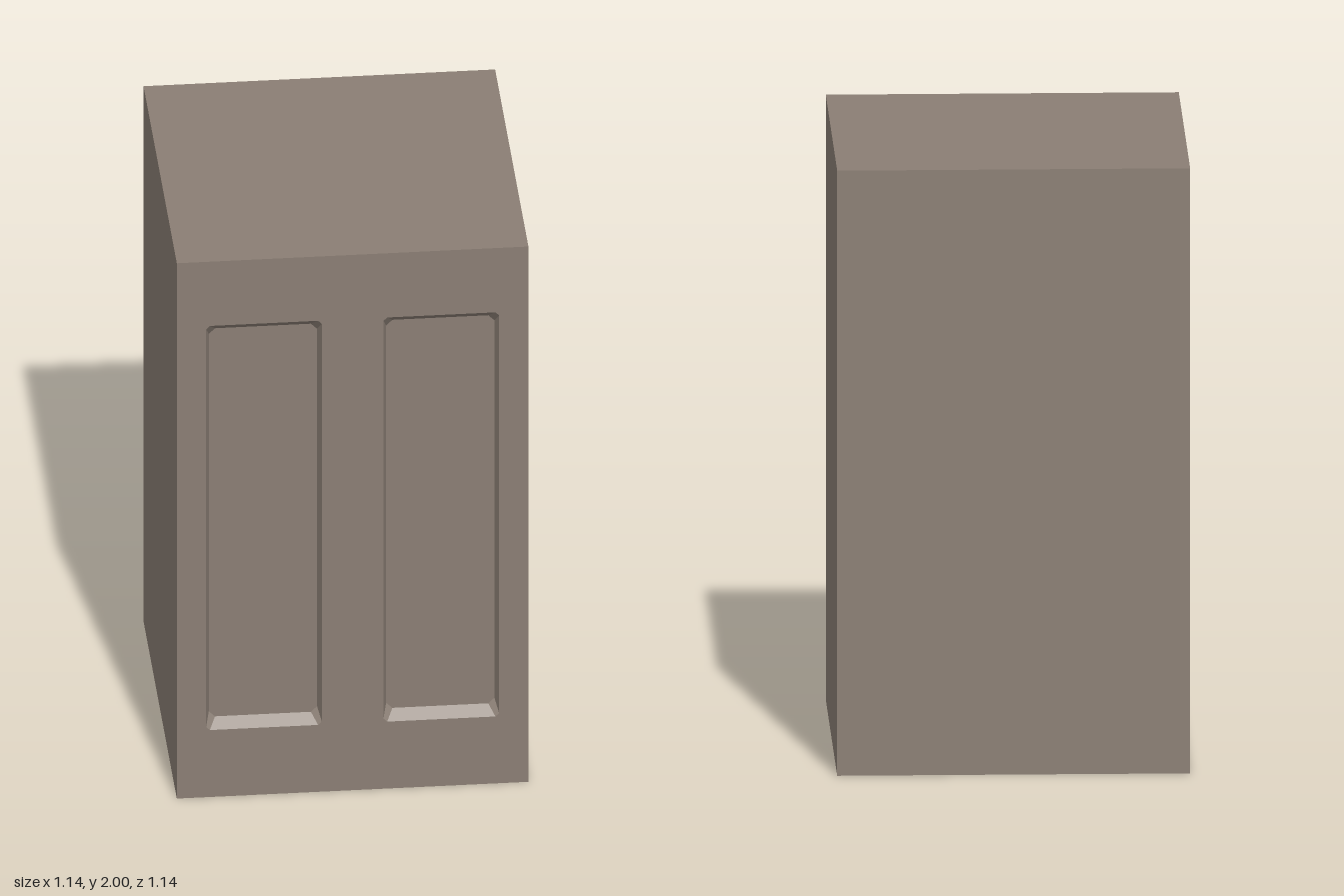
import * as THREE from 'three';

const W = 1.14, H = 2, FRONT = W / 2, DEPTH = 0.035;

// Rectangle with clipped corners, counter-clockwise from the front
function clippedRect(x0, x1, y0, y1, cx, cy) {
  return [
    [x0 + cx, y0], [x1 - cx, y0], [x1, y0 + cy], [x1, y1 - cy],
    [x1 - cx, y1], [x0 + cx, y1], [x0, y1 - cy], [x0, y0 + cy],
  ].map(([x, y]) => new THREE.Vector2(x, y));
}

// Sloping band joining the rim of a recess to its floor
function slopeBand(outer, inner) {
  const pos = [];
  outer.forEach((a, i) => {
    const j = (i + 1) % outer.length;
    const A = [a.x, a.y, FRONT], B = [outer[j].x, outer[j].y, FRONT];
    const C = [inner[j].x, inner[j].y, FRONT - DEPTH], D = [inner[i].x, inner[i].y, FRONT - DEPTH];
    pos.push(...A, ...B, ...C, ...A, ...C, ...D);
  });
  const g = new THREE.BufferGeometry();
  g.setAttribute('position', new THREE.Float32BufferAttribute(pos, 3));
  g.computeVertexNormals();
  return g;
}

export function createModel() {
  const group = new THREE.Group();
  const material = new THREE.MeshStandardMaterial({ color: 0x8a7e74, flatShading: true });
  const add = (geometry, name, z = 0) => {
    const mesh = new THREE.Mesh(geometry, material);
    mesh.name = name;
    mesh.position.z = z;
    group.add(mesh);
  };

  // Cabinet body, with its front side left open for the panelled face
  const body = new THREE.BoxGeometry(W, H, W).translate(0, H / 2, 0);
  const index = Array.from(body.index.array);
  index.splice(24, 6);
  body.setIndex(index);
  body.clearGroups();
  add(body, 'body');

  // Front face with two tall recessed panels
  const face = new THREE.Shape(clippedRect(-W / 2, W / 2, 0, H, 0, 0).filter((p, i) => i % 2 === 0));
  for (const [side, x0, x1] of [['right', -0.475, -0.1], ['left', 0.1, 0.475]]) {
    const outer = clippedRect(x0, x1, 0.25, 1.76, 0.012, 0.012);
    const inner = clippedRect(x0 + 0.012, x1 - 0.012, 0.28, 1.73, 0.02, 0.02);
    face.holes.push(new THREE.Path(outer));
    add(slopeBand(outer, inner), `${side}PanelBevel`);
    add(new THREE.ShapeGeometry(new THREE.Shape(inner)), `${side}Panel`, FRONT - DEPTH);
  }
  add(new THREE.ShapeGeometry(face), 'frontFrame', FRONT);

  return group;
}
